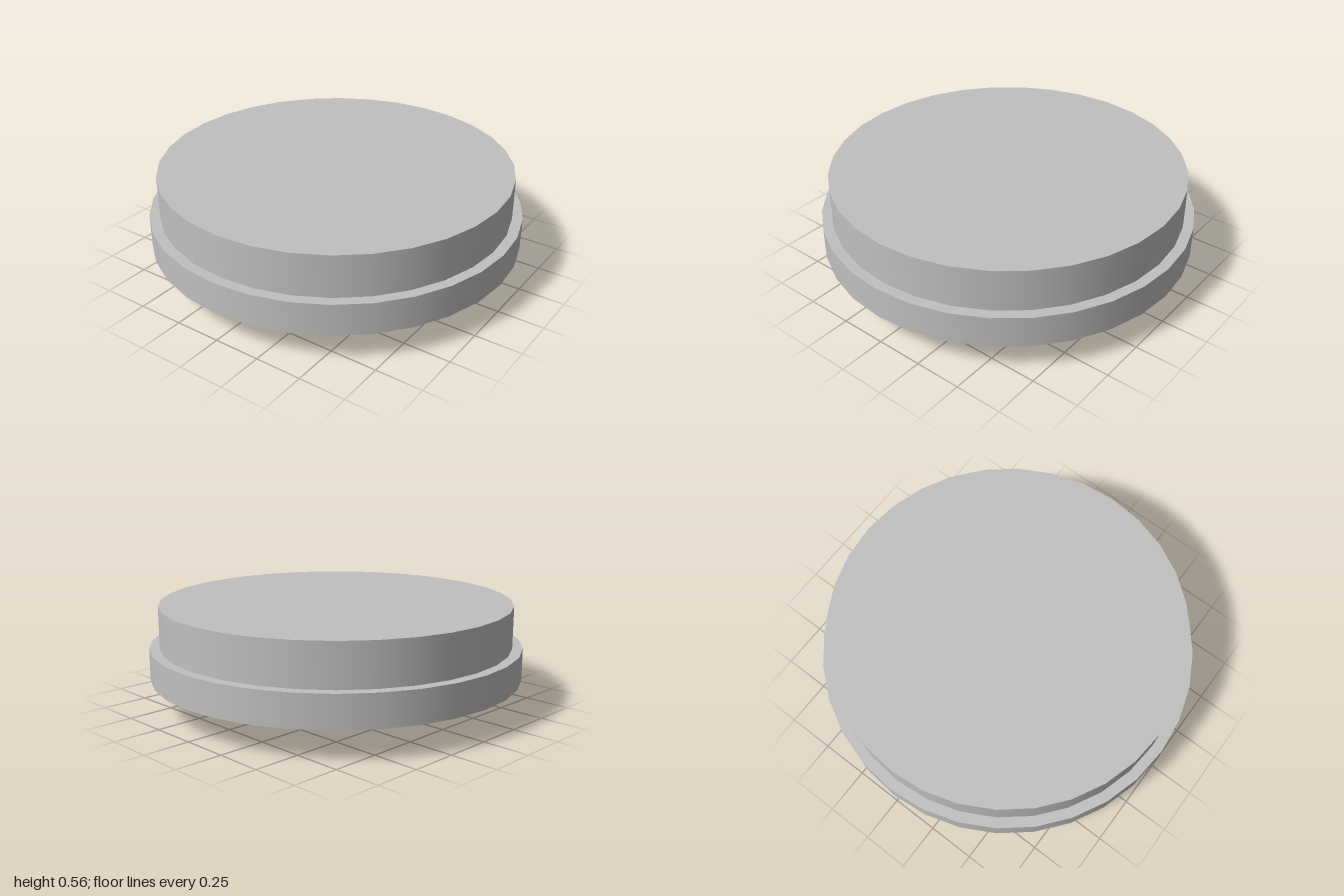
import * as THREE from 'three';

const SIDES = 32;
// Underside dome profile, centre to rim: [radius, height]
const DOME = [[0, 0.005], [0.45, 0.037], [0.76, 0.095], [1, 0.16]];

function domeHeight(r) {
  for (let i = 1; i < DOME.length; i++) {
    const [r0, y0] = DOME[i - 1], [r1, y1] = DOME[i];
    if (r <= r1) return y0 + (y1 - y0) * (r - r0) / (r1 - r0);
  }
  return DOME[DOME.length - 1][1];
}

export function createModel() {
  const model = new THREE.Group();
  model.name = 'smokeDetector';
  const plastic = new THREE.MeshStandardMaterial({ color: 0xc0c0c0 });
  plastic.name = 'greyPlastic';

  function add(name, geometry, parent = model) {
    const mesh = new THREE.Mesh(geometry, plastic);
    mesh.name = name;
    parent.add(mesh);
    return mesh;
  }
  function disc(name, radius, bottom, top, sides = SIDES) {
    const mesh = add(name, new THREE.CylinderGeometry(radius, radius, top - bottom, sides));
    mesh.position.y = (bottom + top) / 2;
    return mesh;
  }
  const lathe = (points) =>
    new THREE.LatheGeometry(points.map(([r, y]) => new THREE.Vector2(r, y)), SIDES);

  // Mounting base on top of the wider cover rim
  disc('mountingBase', 0.945, 0.33, 0.555);
  const rim = add('coverRim', new THREE.CylinderGeometry(1, 1, 0.17, SIDES));
  rim.position.y = 0.245;

  // Shallow domed underside
  add('coverDome', lathe(DOME));

  // Test button, following the dome just below its surface
  add('testButton', lathe([[0, 0], [0.2, domeHeight(0.2) - 0.006]]));
  const edge = domeHeight(0.2);
  add('testButtonEdge', lathe([[0.2, edge - 0.006], [0.2, edge + 0.002]]));

  // Indicator light
  disc('indicatorLight', 0.042, 0.045, 0.085, 20).position.x = 0.6;

  // Four concentric sound vents
  const vents = new THREE.Group();
  vents.name = 'soundVents';
  model.add(vents);
  for (const r of [0.58, 0.68, 0.79, 0.895]) {
    const shape = new THREE.Shape();
    const from = Math.PI - 0.35, to = Math.PI + 0.41, half = 0.011;
    shape.absarc(0, 0, r + half, from, to, false);
    shape.absarc(0, 0, r - half, to, from, true);
    const geometry = new THREE.ExtrudeGeometry(shape, { depth: 0.024, bevelEnabled: false, curveSegments: 10 });
    geometry.rotateX(Math.PI / 2);
    add('soundVent', geometry, vents).position.y = domeHeight(r) + 0.012;
  }
  return model;
}
